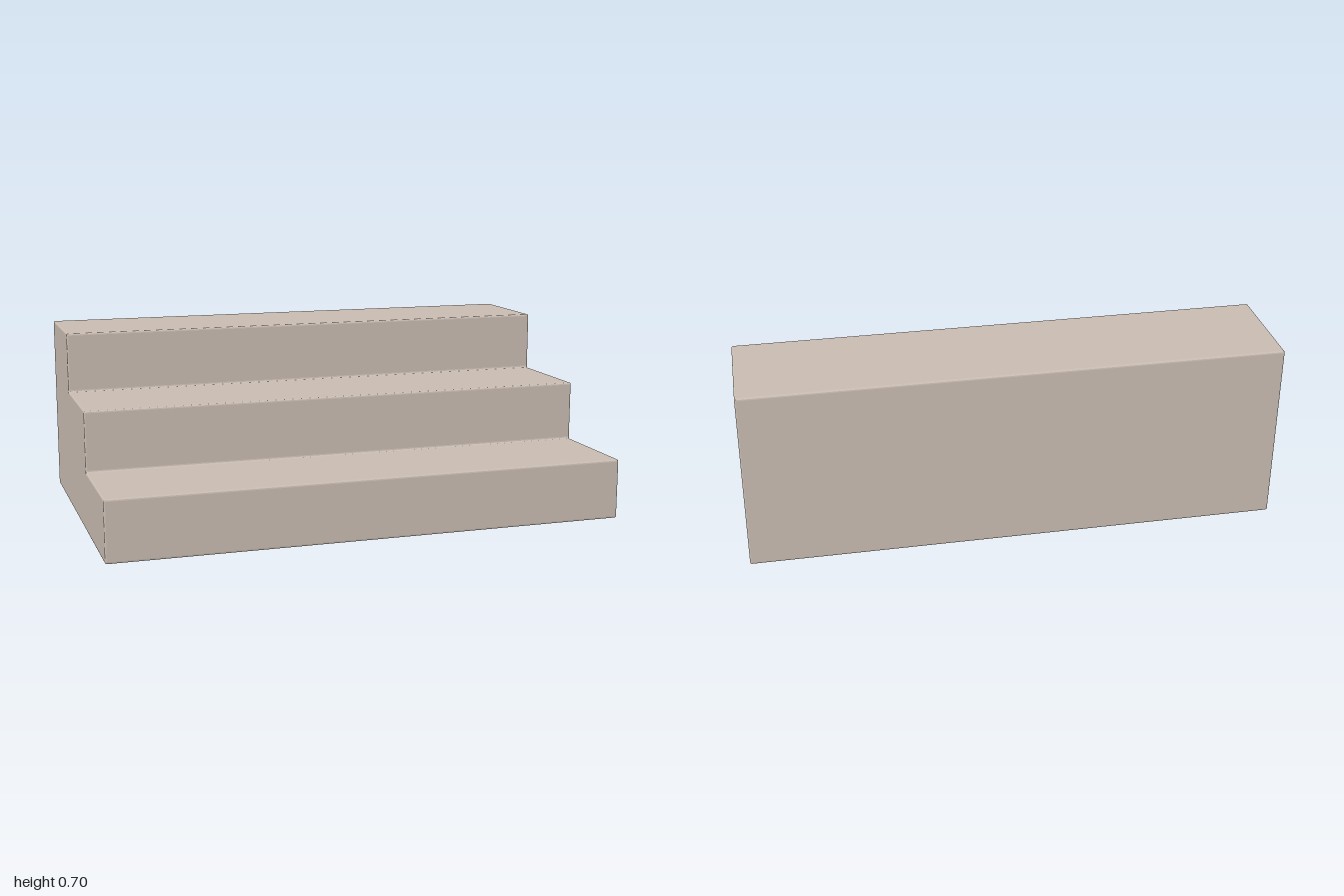
import * as THREE from 'three';

const WIDTH = 2, DEPTH = 1.235, HEIGHT = 0.7, STEPS = 3, ROUND = 0.008;

// Closed outline with every corner, inner or outer, slightly rounded
function roundedShape(points, r) {
  const shape = new THREE.Shape();
  const n = points.length;
  points.forEach((p, i) => {
    const toward = (q) => q.clone().sub(p).setLength(r).add(p);
    const a = toward(points[(i + n - 1) % n]);
    const b = toward(points[(i + 1) % n]);
    if (i === 0) shape.moveTo(a.x, a.y);
    else shape.lineTo(a.x, a.y);
    shape.quadraticCurveTo(p.x, p.y, b.x, b.y);
  });
  shape.closePath();
  return shape;
}

export function createModel() {
  const group = new THREE.Group();
  group.name = 'stairs';

  const stone = new THREE.MeshStandardMaterial({ color: 0xc9bcb2 });
  stone.name = 'warm stone';

  // Side profile: x runs to the front, y up, counter-clockwise
  const run = DEPTH / STEPS, rise = HEIGHT / STEPS;
  const profile = [new THREE.Vector2(-DEPTH / 2, 0), new THREE.Vector2(DEPTH / 2, 0)];
  for (let i = 0; i < STEPS; i++) {
    const y = (i + 1) * rise;
    profile.push(new THREE.Vector2(DEPTH / 2 - i * run, y));
    profile.push(new THREE.Vector2(DEPTH / 2 - (i + 1) * run, y));
  }

  // Solid flight of steps, with softened side edges
  const bevel = 0.006;
  const geometry = new THREE.ExtrudeGeometry(roundedShape(profile, ROUND), {
    depth: WIDTH - 2 * bevel,
    curveSegments: 3,
    bevelEnabled: true,
    bevelThickness: bevel,
    bevelSize: bevel,
    bevelOffset: -bevel,
    bevelSegments: 3,
  });
  geometry.translate(0, 0, -WIDTH / 2 + bevel);
  geometry.rotateY(-Math.PI / 2);

  const steps = new THREE.Mesh(geometry, stone);
  steps.name = 'steps';
  group.add(steps);
  return group;
}
